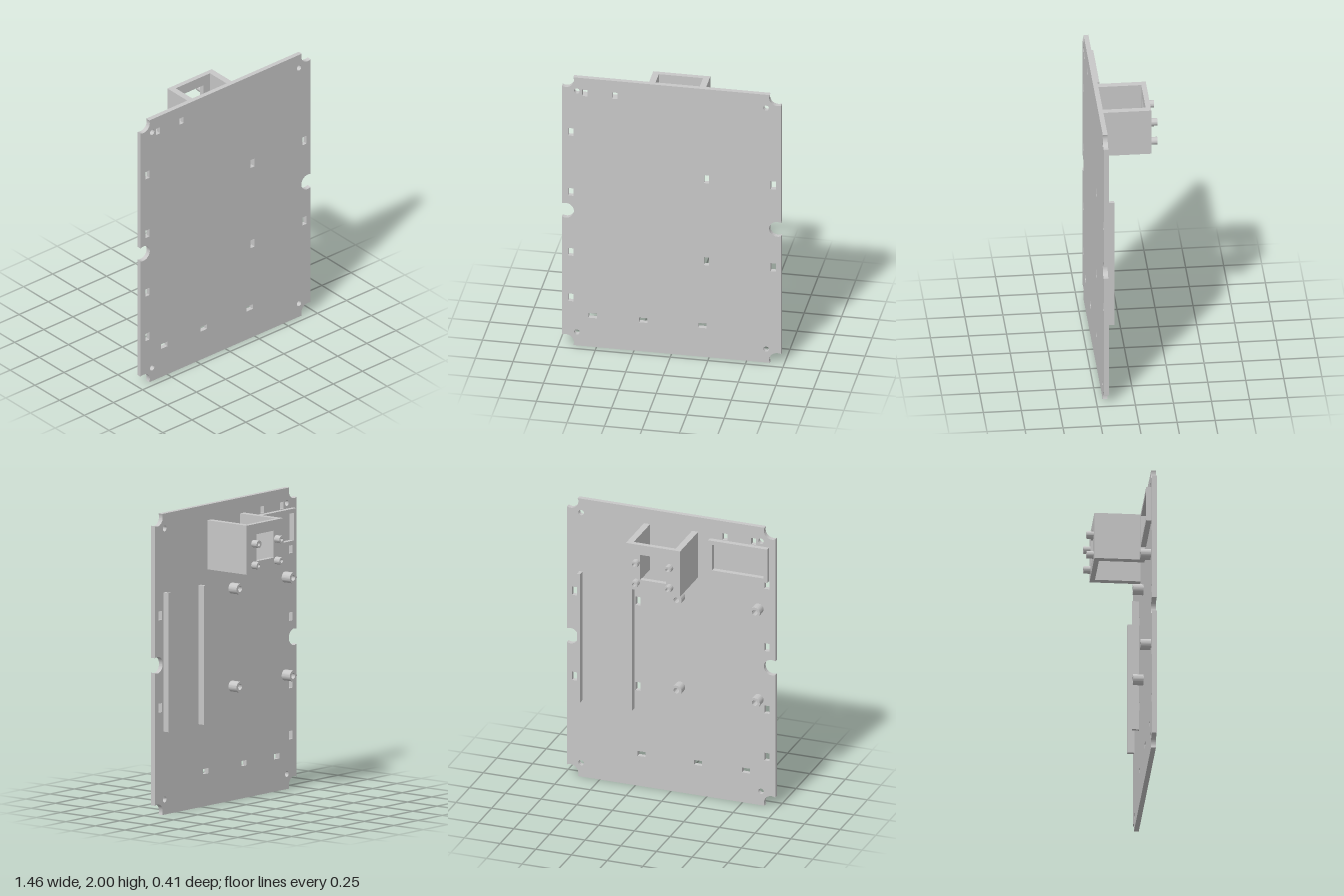
import * as THREE from 'three';
import { toCreasedNormals } from 'three/addons/utils/BufferGeometryUtils.js';

const grey = new THREE.MeshStandardMaterial({ color: 0xc7c7c7 });
grey.name = 'light grey plastic';

const FRONT = 0.205, BACK = 0.173; // faces of the plate

function rect(cx, cy, w, h, Type = THREE.Path) {
  const p = new Type();
  p.moveTo(cx - w / 2, cy - h / 2);
  p.lineTo(cx + w / 2, cy - h / 2);
  p.lineTo(cx + w / 2, cy + h / 2);
  p.lineTo(cx - w / 2, cy + h / 2);
  p.closePath();
  return p;
}

function circle(cx, cy, r, Type = THREE.Path) {
  const p = new Type();
  p.absarc(cx, cy, r, 0, Math.PI * 2, false);
  return p;
}

// Extrudes a shape in the xy plane between two depths
function slab(name, shape, z0, z1) {
  const geo = new THREE.ExtrudeGeometry(shape, { depth: z1 - z0, bevelEnabled: false, curveSegments: 28 });
  geo.translate(0, 0, z0);
  const mesh = new THREE.Mesh(toCreasedNormals(geo, 0.6), grey);
  mesh.name = name;
  return mesh;
}

function box(name, x0, x1, y0, y1, z0, z1) {
  const mesh = new THREE.Mesh(new THREE.BoxGeometry(x1 - x0, y1 - y0, z1 - z0), grey);
  mesh.position.set((x0 + x1) / 2, (y0 + y1) / 2, (z0 + z1) / 2);
  mesh.name = name;
  return mesh;
}

// Hollow round post
function post(name, x, y, r, hole, z0, z1) {
  const s = circle(x, y, r, THREE.Shape);
  s.holes.push(circle(x, y, hole));
  return slab(name, s, z0, z1);
}

function createPlate() {
  // Outline with six round bites, given as centre, start and end angle in degrees
  const bites = [
    [-0.705, 0.022, 117, -23.6], [0.705, 0.022, 203.6, 63], [0.705, 1.002, -63, -297],
    [0.705, 1.978, -63, -203.6], [-0.705, 1.978, 23.6, -117], [-0.705, 1.002, 117, -117],
  ];
  const s = new THREE.Shape();
  for (const [x, y, a, b] of bites)
    s.absarc(x, y, 0.055, THREE.MathUtils.degToRad(a), THREE.MathUtils.degToRad(b), true);
  s.closePath();

  // Screw holes
  for (const x of [-0.63, 0.63]) for (const y of [0.1, 1.9]) s.holes.push(circle(x, y, 0.019));
  // Upright slots
  for (const y of [0.354, 0.694, 1.142, 1.59]) s.holes.push(rect(-0.67, y, 0.035, 0.056));
  for (const x of [0.232, 0.677]) for (const y of [0.715, 1.328]) s.holes.push(rect(x, y, 0.035, 0.06));
  for (const x of [-0.578, -0.377]) s.holes.push(rect(x, 1.89, 0.035, 0.047));
  // Lying slots
  for (const x of [-0.525, -0.188, 0.206]) s.holes.push(rect(x, 0.232, 0.056, 0.035));
  return slab('mountingPlate', s, BACK, FRONT);
}

function createBracket() {
  const g = new THREE.Group();
  g.name = 'bracket';
  const x0 = -0.19, x1 = 0.19, y0 = 1.57, y1 = 1.896, t = 0.043, out = -0.159, inn = -0.126;
  g.add(box('bracketRightWall', x0, x0 + t, y0, y1, inn, BACK));
  g.add(box('bracketLeftWall', x1 - t, x1, y0, y1, inn, BACK));
  // Rear panel with window
  const panel = rect((x0 + x1) / 2, (y0 + y1) / 2, x1 - x0, y1 - y0, THREE.Shape);
  panel.holes.push(rect(0, 1.736, 0.18, 0.18));
  g.add(slab('bracketPanel', panel, out, inn));
  for (const x of [-0.117, 0.117]) for (const y of [1.625, 1.768])
    g.add(post('bracketPost', x, y, 0.025, 0.012, -0.205, out));
  return g;
}

export function createModel() {
  const model = new THREE.Group();
  model.name = 'backPanel';
  model.add(createPlate(), createBracket());

  // Board standoffs
  for (const x of [-0.612, -0.063]) for (const y of [0.761, 1.412])
    model.add(post('standoff', x, y, 0.036, 0.019, 0.104, BACK));

  // Two upright rails
  model.add(box('innerRail', 0.257, 0.279, 0.553, 1.477, 0.128, BACK));
  model.add(box('outerRail', 0.621, 0.643, 0.553, 1.477, 0.128, BACK));

  // Shallow rectangular frame
  const frame = rect(-0.479, 1.743, 0.416, 0.24, THREE.Shape);
  frame.holes.push(rect(-0.479, 1.743, 0.36, 0.184));
  model.add(slab('rectangularFrame', frame, 0.138, BACK));
  return model;
}
